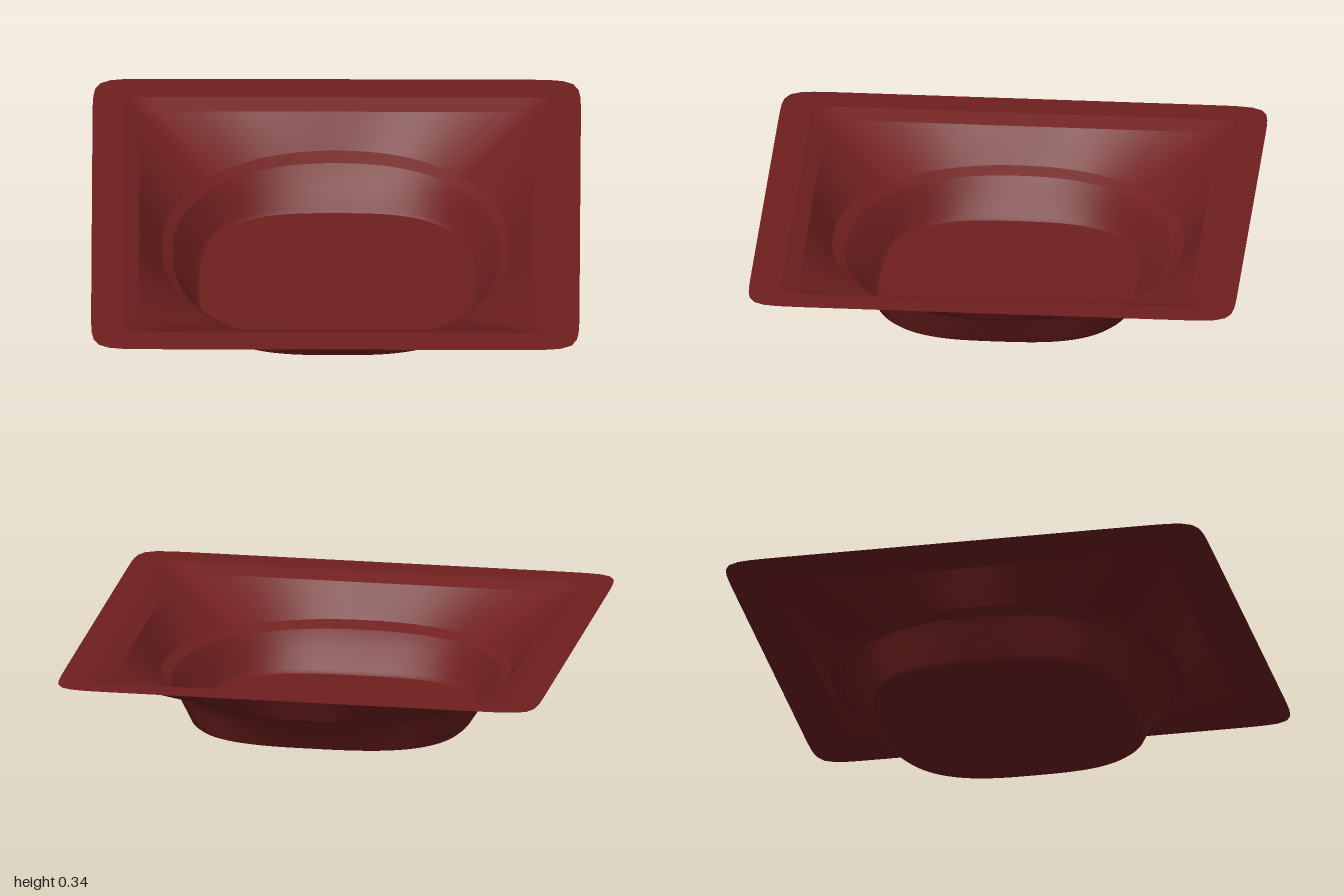
import * as THREE from 'three';

const SEGMENTS = 192;

// One closed outline: superellipse with half sizes rx, rz, height y and squareness n
function outline([rx, rz, y, n]) {
  const points = [];
  for (let i = 0; i < SEGMENTS; i++) {
    const a = (i / SEGMENTS) * Math.PI * 2;
    const c = Math.cos(a), s = Math.sin(a);
    const r = Math.pow(Math.pow(Math.abs(c / rx), n) + Math.pow(Math.abs(s / rz), n), -1 / n);
    points.push(r * c, y, r * s);
  }
  return points;
}

// Skin between successive outlines, listed from outside to inside
function band(levels) {
  const positions = levels.flatMap(outline);
  const index = [];
  for (let l = 0; l < levels.length - 1; l++) {
    for (let i = 0; i < SEGMENTS; i++) {
      const j = (i + 1) % SEGMENTS;
      const a = l * SEGMENTS + i, b = l * SEGMENTS + j;
      const c = a + SEGMENTS, d = b + SEGMENTS;
      index.push(a, c, b, b, c, d);
    }
  }
  const geometry = new THREE.BufferGeometry();
  geometry.setAttribute('position', new THREE.Float32BufferAttribute(positions, 3));
  geometry.setIndex(index);
  geometry.computeVertexNormals();
  return geometry;
}

export function createModel() {
  const group = new THREE.Group();
  const material = new THREE.MeshStandardMaterial({ color: 0x701f1f, side: THREE.DoubleSide });

  // Key outlines: half width, half depth, height, squareness
  const rimOuter = [1, 1, 0.345, 21];
  const rimInner = [0.87, 0.87, 0.343, 45];
  const lip = [0.805, 0.805, 0.315, 40];
  const ledgeOuter = [0.715, 0.72, 0.18, 2.15];
  const ledgeInner = [0.67, 0.665, 0.155, 2.25];
  const wellMiddle = [0.63, 0.6, 0.1, 2.5];
  const wellBottom = [0.575, 0.54, 0.015, 3];
  const floorEdge = [0.56, 0.525, 0.002, 3];

  const parts = {
    rim: [rimOuter, rimInner],
    lip: [rimInner, lip],
    bowlWall: [lip, ledgeOuter],
    ledge: [ledgeOuter, ledgeInner],
    wellWall: [ledgeInner, wellMiddle, wellBottom, floorEdge],
    floor: [floorEdge, [0.001, 0.001, 0, 2]],
  };
  for (const [name, levels] of Object.entries(parts)) {
    const mesh = new THREE.Mesh(band(levels), material);
    mesh.name = name;
    group.add(mesh);
  }
  group.name = 'squareDish';
  return group;
}
